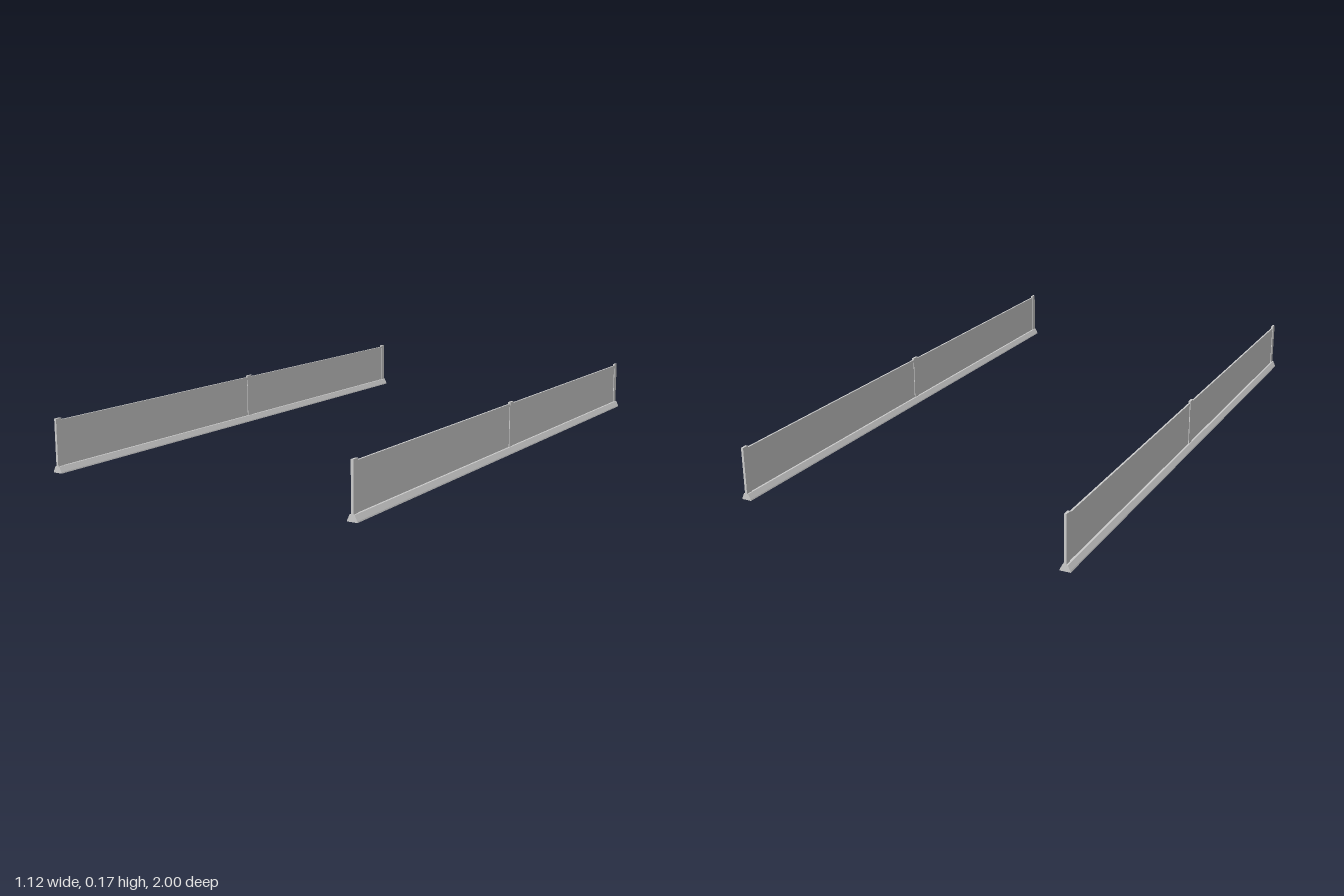
import * as THREE from 'three';

const LENGTH = 2;
const SIDE_X = 0.542; // distance of each barrier from the centre line
const BASE_H = 0.021;

const material = new THREE.MeshStandardMaterial({ color: 0xcccccc, flatShading: true });

// Box centred on x, spanning y0..y1 and z0..z1
function addBox(parent, name, width, y0, y1, z0, z1) {
  const mesh = new THREE.Mesh(new THREE.BoxGeometry(width, y1 - y0, z1 - z0), material);
  mesh.name = name;
  mesh.position.set(0, (y0 + y1) / 2, (z0 + z1) / 2);
  parent.add(mesh);
}

function createBarrier() {
  const barrier = new THREE.Group();

  // Long kerb with sloping sides
  const profile = new THREE.Shape([
    [-0.017, 0], [0.017, 0], [0.016, 0.004], [0.008, BASE_H], [-0.008, BASE_H], [-0.016, 0.004],
  ].map(([x, y]) => new THREE.Vector2(x, y)));
  const kerbGeometry = new THREE.ExtrudeGeometry(profile, { depth: LENGTH, bevelEnabled: false });
  kerbGeometry.translate(0, 0, -LENGTH / 2);
  const kerb = new THREE.Mesh(kerbGeometry, material);
  kerb.name = 'kerb';
  barrier.add(kerb);

  // Posts at both ends and in the middle
  for (const [z0, z1] of [[-1, -0.977], [-0.013, 0.013], [0.977, 1]]) {
    addBox(barrier, 'post', 0.008, BASE_H - 0.002, 0.173, z0, z1);
  }

  // Thin panels with a top rail, one pair per bay
  for (const [z0, z1] of [[-0.98, -0.01], [0.01, 0.98]]) {
    addBox(barrier, 'panel', 0.003, BASE_H - 0.002, 0.16, z0, z1);
    addBox(barrier, 'topRail', 0.006, 0.157, 0.167, z0, z1);
  }
  return barrier;
}

export function createModel() {
  const model = new THREE.Group();
  model.name = 'barrierPair';
  for (const side of [-1, 1]) {
    const barrier = createBarrier();
    barrier.name = side > 0 ? 'leftBarrier' : 'rightBarrier';
    barrier.position.x = side * SIDE_X;
    model.add(barrier);
  }
  return model;
}
